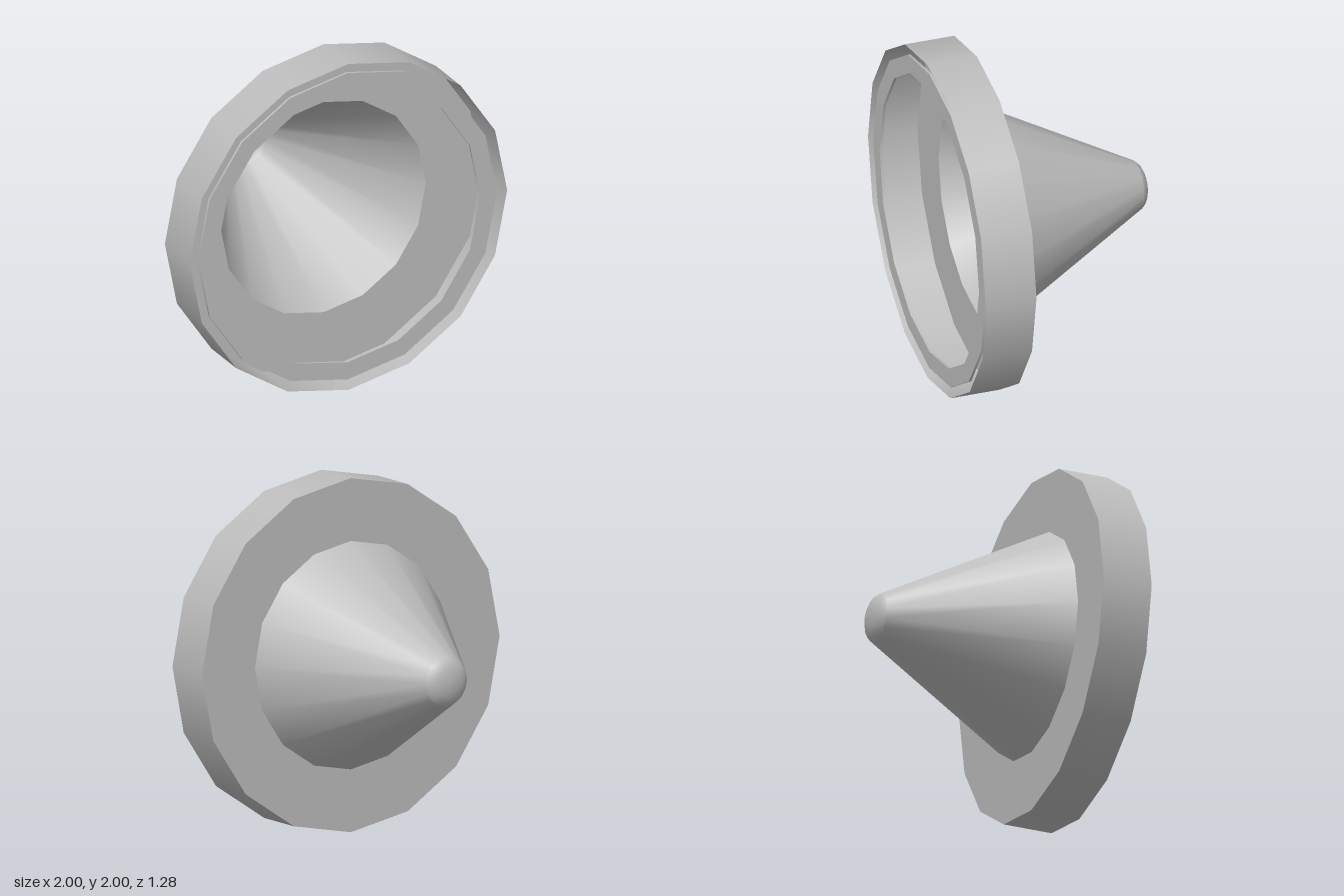
import * as THREE from 'three';

export function createModel() {
  const model = new THREE.Group();
  const grey = new THREE.MeshStandardMaterial({ color: 0xbcbcbc, side: THREE.DoubleSide });
  grey.name = 'grey';

  // Revolve a [radius, z] profile around the horizontal axis, 16 sides
  function revolve(name, profile) {
    const points = profile.map(([r, z]) => new THREE.Vector2(r, z));
    const geometry = new THREE.LatheGeometry(points, 16);
    geometry.rotateX(Math.PI / 2);
    geometry.translate(0, 1, 0);
    const mesh = new THREE.Mesh(geometry, grey);
    mesh.name = name;
    model.add(mesh);
  }

  // Hollow cone with a small rounded tip
  revolve('coneTip', [[0, -0.636], [0.045, -0.633], [0.085, -0.624], [0.12, -0.607], [0.139, -0.585]]);
  revolve('cone', [[0.139, -0.585], [0.645, 0.35]]);

  // Open drum: flat back plate and thin side wall
  revolve('backPlate', [[0.645, 0.35], [1, 0.35]]);
  revolve('sideWall', [[1, 0.35], [1, 0.64]]);

  // Thin ring set just inside the open front
  revolve('frontRingFace', [[0.94, 0.63], [0.835, 0.63]]);
  revolve('frontRingBack', [[0.835, 0.615], [0.94, 0.615]]);
  revolve('frontRingOuterEdge', [[0.94, 0.615], [0.94, 0.63]]);
  revolve('frontRingInnerEdge', [[0.835, 0.63], [0.835, 0.615]]);

  return model;
}
